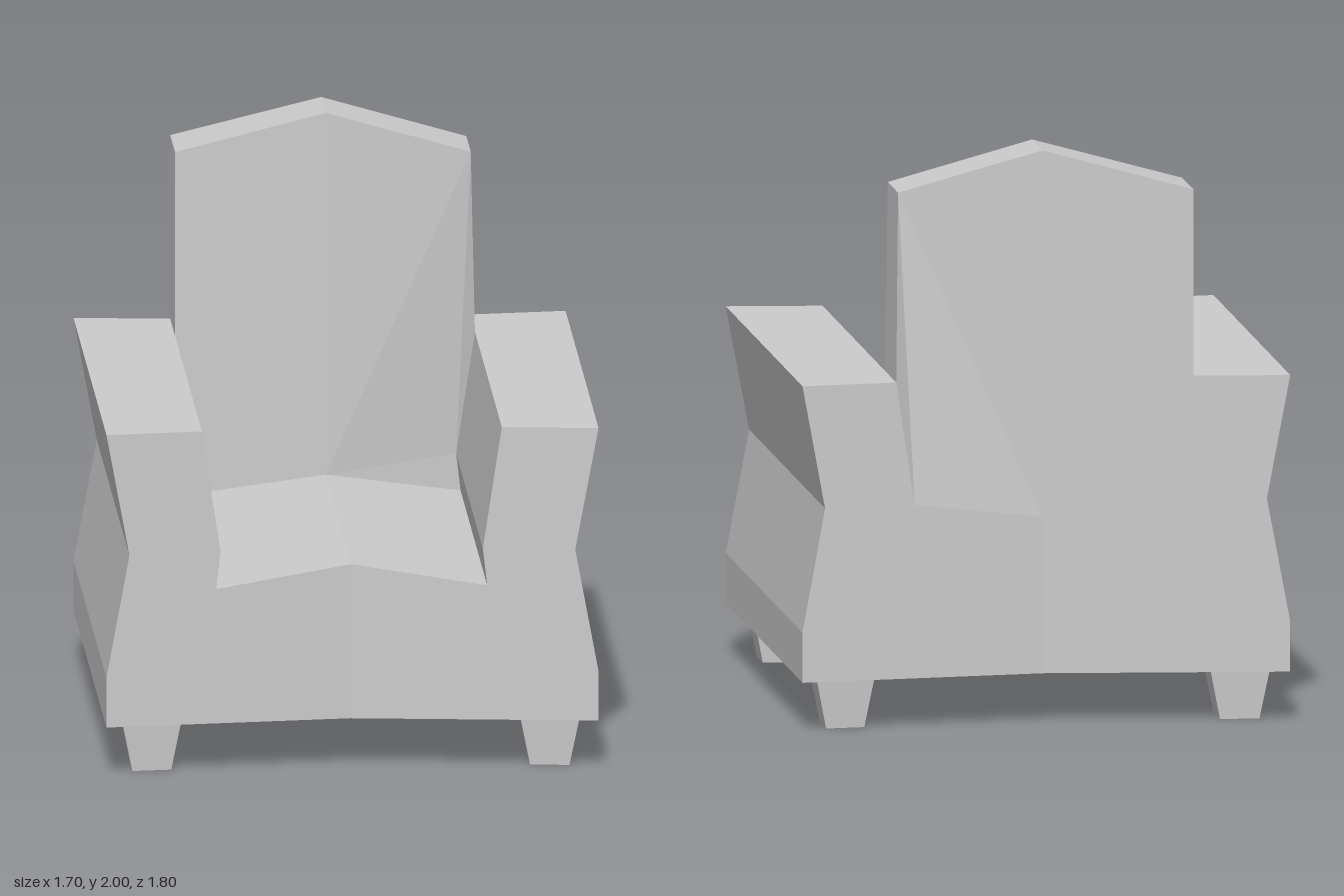
import * as THREE from 'three';

const material = new THREE.MeshStandardMaterial({ color: 0xcccccc, flatShading: true });

// Lofts outline halves between front and back. Each half is an open
// counter-clockwise path of [x, y, zFront, zBack] starting and ending on x = 0.
function loft(halves, hasWall) {
  const positions = [];
  const front = p => [p[0], p[1], p[2]];
  const back = p => [p[0], p[1], p[3]];
  const tri = (...points) => points.forEach(p => positions.push(...p));
  for (const half of halves) {
    const contour = half.map(p => new THREE.Vector2(p[0], p[1]));
    for (const [a, b, c] of THREE.ShapeUtils.triangulateShape(contour, [])) {
      tri(front(half[a]), front(half[b]), front(half[c]));
      tri(back(half[a]), back(half[c]), back(half[b]));
    }
    for (let i = 0; i < half.length - 1; i++) {
      const a = half[i], b = half[i + 1];
      if (!hasWall(a, b)) continue;
      tri(front(a), back(a), back(b));
      tri(front(a), back(b), front(b));
    }
  }
  const geometry = new THREE.BufferGeometry();
  geometry.setAttribute('position', new THREE.Float32BufferAttribute(positions, 3));
  geometry.computeVertexNormals();
  return geometry;
}

const mirror = half => half.map(([x, ...rest]) => [-x, ...rest]).reverse();

// Front and back of the body bow inwards towards the middle
const bodyDepth = x => 0.81 + 0.09 * Math.abs(x) / 0.85;

function makeBody() {
  const half = [
    [0, 0.175], [0.85, 0.175], [0.85, 0.35], [0.77, 0.78], [0.85, 1.21],
    [0.518, 1.21], [0.453, 0.78], [0.468, 0.65], [0, 0.72],
  ].map(([x, y]) => [x, y, bodyDepth(x), -bodyDepth(x)]);
  return loft([half, mirror(half)], () => true);
}

function makeBackrest() {
  const half = [
    [0, 0.72], [0.468, 0.65], [0.453, 0.78], [0.518, 1.21], [0.518, 1.86], [0, 2],
  ].map(([x, y]) => [x, y, -0.565 - 0.07 * x, -bodyDepth(x)]);
  const left = half.map(p => [...p]);
  // The upper corner on the model's left leans forward
  left[4] = [0.5, 1.86, -0.545, -0.785];
  // Walls only above the arms; the rest sits inside the body
  return loft([left, mirror(half)], (a, b) => Math.min(a[1], b[1]) > 1.2);
}

// Tapered leg, skewed to follow the bowed front and back
function makeLeg(sx, sz) {
  const geometry = new THREE.BoxGeometry(0.205, 0.175, 0.168);
  const p = geometry.attributes.position;
  for (let i = 0; i < p.count; i++) {
    const low = p.getY(i) < 0;
    const x = p.getX(i) * (low ? 0.66 : 1);
    const z = p.getZ(i) * (low ? 0.86 : 1) + sx * sz * 0.1 * x;
    p.setXYZ(i, x, p.getY(i), z);
  }
  geometry.computeVertexNormals();
  return geometry;
}

export function createModel() {
  const model = new THREE.Group();
  model.name = 'armchair';
  const add = (name, geometry) => {
    const mesh = new THREE.Mesh(geometry, material);
    mesh.name = name;
    model.add(mesh);
    return mesh;
  };

  add('seatAndArms', makeBody());
  add('backrest', makeBackrest());

  for (const sx of [-1, 1]) {
    for (const sz of [-1, 1]) {
      const name = (sz > 0 ? 'front' : 'back') + (sx > 0 ? 'Left' : 'Right') + 'Leg';
      add(name, makeLeg(sx, sz)).position.set(sx * 0.6875, 0.0875, sz * 0.735);
    }
  }
  return model;
}
